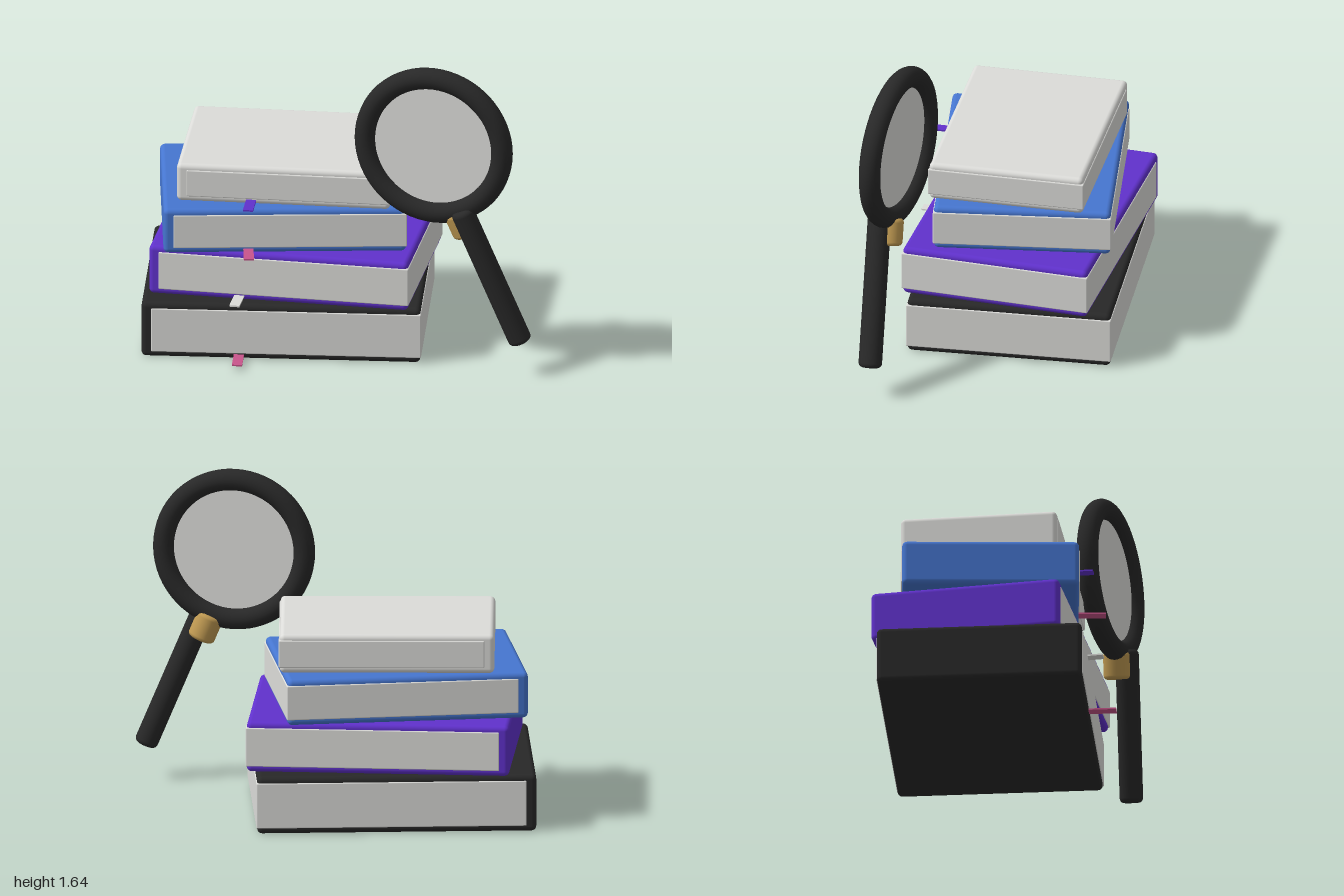
import * as THREE from 'three';
import { RoundedBoxGeometry } from 'three/addons/geometries/RoundedBoxGeometry.js';

function mat(name, color) {
  const m = new THREE.MeshStandardMaterial({ color });
  m.name = name;
  return m;
}

export function createModel() {
  const black = mat('black', 0x282828);
  const purple = mat('purple', 0x6031cc);
  const blue = mat('blue', 0x4676d0);
  const paper = mat('pale grey', 0xdcdcd9);
  const gold = mat('gold', 0xc09a52);
  const pink = mat('pink', 0xc9558b);

  const model = new THREE.Group();
  model.name = 'booksAndMagnifier';

  function add(parent, name, geometry, material, x = 0, y = 0, z = 0) {
    const mesh = new THREE.Mesh(geometry, material);
    mesh.name = name;
    mesh.position.set(x, y, z);
    parent.add(mesh);
    return mesh;
  }

  // Book: rounded cover with the spine on -x, page block just proud of the other three sides
  function book(name, cover, ribbon, w, h, d, x, y, z, turn) {
    const g = new THREE.Group();
    g.name = name;
    g.position.set(x, y, z);
    g.rotation.y = turn;
    add(g, 'cover', new RoundedBoxGeometry(w, h, d, 4, 0.025), cover, 0, h / 2, 0);
    const spine = 0.05, proud = 0.005, board = 0.03;
    add(g, 'pages', new RoundedBoxGeometry(w - spine + proud, h - 2 * board, d + 2 * proud, 2, 0.006),
      paper, (spine + proud) / 2, h / 2, 0);
    // Ribbon bookmark sticking out at the front
    add(g, 'ribbon', new THREE.BoxGeometry(0.052, 0.008, 0.2), ribbon, -0.15 * w, 0.022, d / 2 + 0.04);
    model.add(g);
  }

  book('blackBook', black, pink, 1.42, 0.297, 1.045, -0.29, 0, -0.067, 0);
  book('purpleBook', purple, paper, 1.337, 0.263, 0.973, -0.25, 0.298, -0.07, -0.115);
  book('blueBook', blue, pink, 1.233, 0.24, 0.9, -0.312, 0.561, -0.065, 0.085);
  book('greyBook', paper, purple, 1.091, 0.203, 0.8, -0.265, 0.802, -0.057, -0.05);

  // Cylinder with rounded rims, centred on its own axis
  function roundedRod(radius, length, r) {
    const pts = [new THREE.Vector2(0, -length / 2)];
    for (const end of [-1, 1]) {
      for (let i = 0; i <= 5; i++) {
        const a = (end < 0 ? i - 5 : i) * Math.PI / 10;
        pts.push(new THREE.Vector2(radius - r + r * Math.cos(a), end * (length / 2 - r) + r * Math.sin(a)));
      }
    }
    pts.push(new THREE.Vector2(0, length / 2));
    return new THREE.LatheGeometry(pts, 32);
  }

  // Magnifier: turned ring and lens, slanted handle with a gold ferrule behind its top
  const magnifier = new THREE.Group();
  magnifier.name = 'magnifier';
  model.add(magnifier);

  const head = new THREE.Group();
  head.name = 'lensHead';
  head.position.set(0.492, 1.217, 0.488);
  head.rotation.y = -0.25;
  magnifier.add(head);
  add(head, 'rim', new THREE.TorusGeometry(0.365, 0.055, 20, 64), black);
  const lens = add(head, 'lens', new THREE.CylinderGeometry(0.34, 0.34, 0.015, 64), paper);
  lens.rotation.x = Math.PI / 2;

  const slant = 0.4;
  const handle = add(magnifier, 'handle', roundedRod(0.06, 0.78, 0.025), black, 0.79, 0.535, 0.56);
  handle.rotation.z = slant;
  const ferrule = add(magnifier, 'ferrule', roundedRod(0.07, 0.14, 0.02), gold, 0.636, 0.805, 0.51);
  ferrule.rotation.z = slant;

  return model;
}
